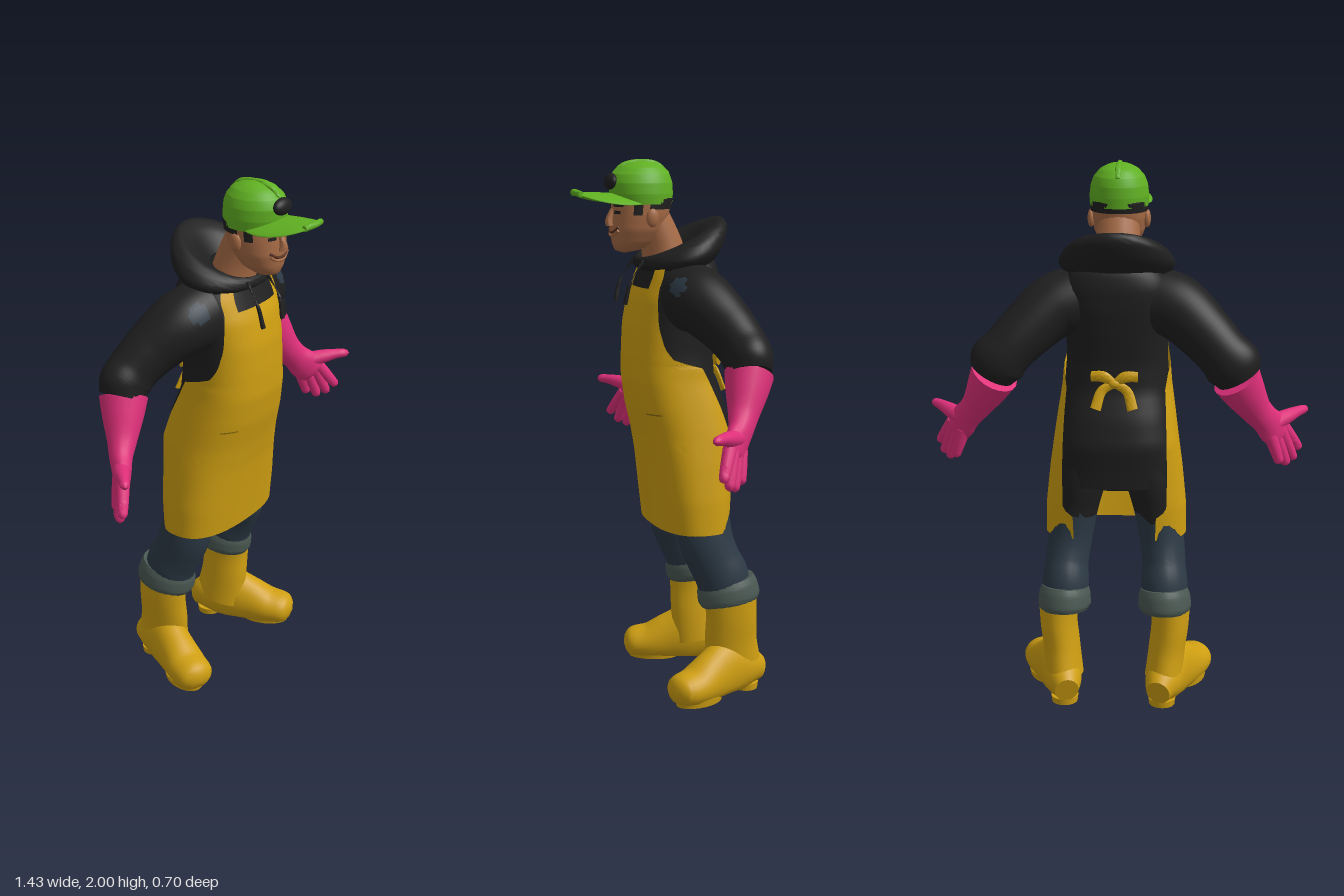
import * as THREE from 'three';
import { toCreasedNormals } from 'three/addons/utils/BufferGeometryUtils.js';

const V = (x, y, z) => new THREE.Vector3(x, y, z);
const colour = (name, hex) => {
  const m = new THREE.MeshStandardMaterial({ color: hex, side: THREE.DoubleSide });
  m.name = name;
  return m;
};

// Surface from a point function f(u, v)
function grid(nu, nv, f) {
  const pos = [], idx = [];
  for (let i = 0; i <= nu; i++) for (let j = 0; j <= nv; j++) pos.push(...f(i / nu, j / nv).toArray());
  for (let i = 0; i < nu; i++) for (let j = 0; j < nv; j++) {
    const a = i * (nv + 1) + j, b = a + nv + 1;
    idx.push(a, b, b + 1, a, b + 1, a + 1);
  }
  const g = new THREE.BufferGeometry();
  g.setAttribute('position', new THREE.Float32BufferAttribute(pos, 3));
  g.setIndex(idx);
  return toCreasedNormals(g, 0.9);
}

// Capped elliptical sweep through [x, y, z, ra, rb]; rb lies along ref
function sweep(pts, ref, { n = 20, sides = 18, round = 0, floor = -1 } = {}) {
  const path = new THREE.CatmullRomCurve3(pts.map(p => V(p[0], p[1], p[2])));
  const size = new THREE.CatmullRomCurve3(pts.map(p => V(p[3], p[4] ?? p[3], 0)));
  return grid(n + 2, sides, (u, v) => {
    const step = u * (n + 2) - 1, t = Math.min(1, Math.max(0, step / n));
    const T = path.getTangent(t), r = size.getPoint(t);
    const A = T.clone().cross(ref).normalize(), B = A.clone().cross(T);
    let k = t > 1 - round ? Math.sqrt(Math.max(0, 1 - ((t - 1 + round) / round) ** 2)) : 1;
    if (step < -0.5 || step > n + 0.5) k = 0;
    const a = v * Math.PI * 2;
    const p = path.getPoint(t).addScaledVector(A, r.x * k * Math.cos(a)).addScaledVector(B, r.y * k * Math.sin(a));
    p.y = Math.max(p.y, floor);
    return p;
  });
}

// Linear lookup in rows sorted by their first column
function lookup(rows, y) {
  let i = 0;
  while (i < rows.length - 2 && y > rows[i + 1][0]) i++;
  const k = Math.min(1, Math.max(0, (y - rows[i][0]) / (rows[i + 1][0] - rows[i][0])));
  return rows[i].map((a, j) => a + (rows[i + 1][j] - a) * k);
}

// Horizontal sections [y, half width, front z, back z]; t runs from the front
const profile = (rows, e) => (y, t, off = 0) => {
  const [, w, f, b] = lookup(rows, y), s = Math.sin(t), c = Math.cos(t);
  return V(-(w + off) * Math.sign(s) * Math.abs(s) ** e, y,
    (f + b) / 2 + ((f - b) / 2 + off) * Math.sign(c) * Math.abs(c) ** e);
};
const shell = (at, y0, y1, t0, t1, off, n = 24, m = 32) => grid(n, m, (u, v) => {
  const y = y0 + (y1 - y0) * u, a = typeof t0 === 'function' ? t0(y) : t0, b = typeof t1 === 'function' ? t1(y) : t1;
  return at(y, a + (b - a) * v, off);
});

// Assign the second material to triangles whose centre passes the test
function paint(geo, test) {
  const p = geo.attributes.position;
  for (let i = 0; i < p.count; i += 3) {
    const c = V(0, 0, 0);
    for (let k = 0; k < 3; k++) c.add(V(p.getX(i + k), p.getY(i + k), p.getZ(i + k)));
    geo.addGroup(i, 3, test(c.divideScalar(3)) ? 1 : 0);
  }
  return geo;
}

export function createModel() {
  const root = new THREE.Group();
  const black = colour('hoodie black', 0x1f1f1f), yellow = colour('rubber yellow', 0xcf9f12);
  const pink = colour('glove pink', 0xdf307a), green = colour('cap green', 0x60b022);
  const denim = colour('denim blue', 0x2c3945), cuffGrey = colour('cuff grey', 0x4a5852);
  const skin = colour('skin', 0xa56a45), lip = colour('lip brown', 0x5a3222), seam = colour('seam brown', 0x8a6a10);
  const add = (name, geo, mat) => {
    const m = new THREE.Mesh(geo, mat);
    m.name = name;
    root.add(m);
    return m;
  };
  const ball = (name, mat, p, s) => {
    const m = add(name, new THREE.SphereGeometry(1, 24, 16), mat);
    m.position.set(...p);
    m.scale.set(...s);
    return m;
  };
  const X = V(1, 0, 0), Y = V(0, 1, 0), Z = V(0, 0, 1), TAU = Math.PI * 2;

  // Torso and apron share one profile
  const body = profile([[0.635, 0.256, 0.04, -0.22], [0.75, 0.254, 0.055, -0.23], [0.9, 0.238, 0.075, -0.238],
    [1.0, 0.224, 0.095, -0.25], [1.1, 0.21, 0.12, -0.225], [1.2, 0.195, 0.135, -0.185], [1.3, 0.187, 0.135, -0.178],
    [1.4, 0.188, 0.13, -0.19], [1.5, 0.2, 0.11, -0.2], [1.58, 0.2, 0.075, -0.2], [1.64, 0.17, 0.05, -0.185],
    [1.68, 0.09, 0.02, -0.13], [1.69, 0.002, -0.05, -0.054]], 0.8);
  add('hoodieTorso', shell(body, 0.84, 1.69, 0, TAU, 0, 36, 40), black);
  ball('seat', black, [0, 0.86, -0.09], [0.2, 0.06, 0.13]);
  const edge = y => lookup([[0.635, 2.62], [0.73, 2.6], [0.75, 2.4], [1.0, 2.25], [1.2, 2.1], [1.255, 1.9], [1.275, 1.45],
    [1.33, 1.2], [1.42, 1.0], [1.54, 0.8]], y)[1];
  add('apron', shell(body, 0.635, 1.54, y => -edge(y), edge, 0.009, 50, 40), yellow);

  // Hood: rolled surface from the shoulders over the rim to the neck
  const hoodRows = [[0.185, 0.065, -0.17, 1.595, 1.62], [0.212, 0.1, -0.225, 1.615, 1.7], [0.192, 0.1, -0.243, 1.638, 1.76],
    [0.152, 0.088, -0.225, 1.648, 1.792], [0.115, 0.075, -0.17, 1.638, 1.765], [0.085, 0.06, -0.1, 1.62, 1.69]];
  const across = new THREE.CatmullRomCurve3(hoodRows.map(r => V(r[0], r[1], r[2])));
  const heights = new THREE.CatmullRomCurve3(hoodRows.map(r => V(r[3], r[4], 0)));
  add('hood', grid(24, 48, (u, v) => {
    const { x: w, y: f, z: b } = across.getPoint(u), h = heights.getPoint(u), c = Math.cos(v * TAU);
    return V(-w * Math.sin(v * TAU), h.x + (h.y - h.x) * (1 - c) / 2, (f + b) / 2 + (f - b) / 2 * c);
  }), black);

  // Neck, head and face
  add('neck', sweep([[0, 1.6, -0.02, 0.085, 0.1], [0, 1.7, 0.005, 0.075, 0.085], [0, 1.8, 0.045, 0.066, 0.076]], X), skin);
  const head = profile([[1.665, 0.003, 0.15, 0.14], [1.67, 0.038, 0.178, 0.1], [1.7, 0.072, 0.19, 0.04],
    [1.75, 0.094, 0.196, 0.0], [1.8, 0.1, 0.192, -0.02], [1.86, 0.1, 0.188, -0.028], [1.9, 0.09, 0.17, -0.02]], 0.92);
  add('head', shell(head, 1.665, 1.9, 0, TAU, 0, 24, 36), skin);
  add('hair', shell(head, 1.825, 1.865, Math.PI - 1.55, Math.PI + 1.55, 0.006), black);
  add('nose', sweep([[0, 1.825, 0.188, 0.009], [0, 1.785, 0.203, 0.014], [0, 1.765, 0.202, 0.02, 0.014]], Z), skin);
  const mouthLine = (y0, r) => sweep([-0.55, -0.28, 0, 0.28, 0.55].map(t =>
    [...head(y0 + 0.07 * t * t, t, 0.001).toArray(), r]), Y, { sides: 8 });
  add('mouth', mouthLine(1.74, 0.005), lip);
  add('lowerLip', mouthLine(1.728, 0.006), skin);

  // Cap with crown, ridge, bent brim and blank badge
  const crown = profile([[1.843, 0.107, 0.19, -0.034], [1.88, 0.11, 0.199, -0.037], [1.92, 0.105, 0.2, -0.035],
    [1.95, 0.093, 0.188, -0.025], [1.975, 0.071, 0.16, -0.002], [1.99, 0.044, 0.128, 0.03], [1.997, 0.02, 0.1, 0.06],
    [1.999, 0.001, 0.081, 0.079]], 1);
  add('capCrown', shell(crown, 1.843, 1.999, 0, TAU, 0, 40, 40), green);
  add('capRidge', sweep([[0, 1.95, -0.022, 0.008], [0, 1.982, 0.02, 0.012], [0, 1.992, 0.08, 0.012, 0.008],
    [0, 1.98, 0.148, 0.012], [0, 1.95, 0.186, 0.008]], X), green);
  const brim = new THREE.SphereGeometry(1, 36, 16).scale(0.118, 0.011, 0.16).translate(0, 1.872, 0.185);
  const bp = brim.attributes.position;
  for (let i = 0; i < bp.count; i++)
    bp.setY(i, bp.getY(i) - 1.9 * bp.getX(i) ** 2 + 0.08 * (bp.getZ(i) - 0.2));
  brim.computeVertexNormals();
  add('capBrim', brim, green);
  add('brimLip', sweep([[-0.05, 1.881, 0.322, 0.011], [0, 1.887, 0.334, 0.012], [0.05, 1.881, 0.322, 0.011]], Y), green);
  ball('capBadge', black, [0, 1.924, 0.196], [0.048, 0.03, 0.022]).rotation.x = -0.2;

  // Back bow knot
  ball('bowKnot', yellow, [0, 1.235, -0.196], [0.024, 0.018, 0.016]);

  for (const s of [-1, 1]) {
    const side = rows => rows.map(([x, ...r]) => [s * x, ...r]);

    // Ears, eyes, brows and sideburns
    ball('ear', skin, [s * 0.103, 1.795, 0.07], [0.014, 0.034, 0.023]);
    add('eye', shell(head, 1.808, 1.82, s * 0.24, s * 0.58, 0.003, 2, 8), black);
    add('eyebrow', shell(head, 1.834, 1.843, s * 0.18, s * 0.7, 0.004, 2, 8), black);
    add('sideburn', shell(head, 1.805, 1.85, s * 1.1, s * 1.4, 0.004, 4, 6), black);

    // Bow loops and tails
    add('bowLoop', sweep(side([[0, 1.235, -0.196, 0.014, 0.008], [0.04, 1.262, -0.2, 0.021, 0.01],
      [0.085, 1.262, -0.196, 0.019, 0.008]]), Z), yellow);
    add('bowTail', sweep(side([[0, 1.235, -0.196, 0.014, 0.008], [0.045, 1.21, -0.203, 0.018, 0.008],
      [0.068, 1.145, -0.222, 0.02, 0.008]]), Z), yellow);

    // Straps, pocket slits and drawstrings
    add('apronStrap', shell(body, 1.53, 1.645, s * 0.47, s * 0.8, 0.01, 8, 8), yellow);
    add('pocketSlit', shell(body, 1.079, 1.084, s * 0.55, s * 0.95, 0.011, 2, 10), seam);
    add('drawstring', sweep(side([[0.06, 1.64, 0.09, 0.007], [0.066, 1.56, 0.142, 0.007], [0.06, 1.48, 0.162, 0.009]]), Z, { sides: 8 }), black);

    // Sleeve with a denim patch on the shoulder
    const patch = V(s * 0.245, 1.56, 0.02);
    add('sleeve', paint(sweep(side([[0.13, 1.51, -0.055, 0.135, 0.12], [0.22, 1.495, -0.08, 0.12, 0.12], [0.325, 1.415, -0.14, 0.104, 0.1],
      [0.39, 1.35, -0.172, 0.098, 0.09], [0.425, 1.31, -0.18, 0.105, 0.088], [0.45, 1.265, -0.175, 0.085, 0.08]]), Z, { n: 44, sides: 40 }),
      c => c.distanceTo(patch) < 0.038), [black, denim]);

    // Glove: gauntlet, palm, fingers and thumb
    const flat = V(s * -0.74, 0, 0.68);
    add('glove', sweep(side([[0.44, 1.26, -0.178, 0.092, 0.088], [0.47, 1.205, -0.158, 0.08, 0.076], [0.515, 1.13, -0.128, 0.06, 0.054],
      [0.55, 1.085, -0.105, 0.056, 0.042], [0.58, 1.045, -0.078, 0.065, 0.034], [0.612, 1.0, -0.052, 0.055, 0.026]]), flat, { n: 28, round: 0.06 }), pink);
    const fingers = [[[0.572, 1.02, -0.098], [0.612, 0.905, -0.085]], [[0.59, 1.02, -0.075], [0.64, 0.888, -0.05]],
      [[0.61, 1.03, -0.055], [0.668, 0.9, -0.02]], [[0.62, 1.04, -0.04], [0.688, 0.935, 0.01]]];
    for (const [a, b] of fingers)
      add('finger', sweep(side([[...a, 0.025], [...a.map((k, i) => (k + b[i]) / 2), 0.022], [...b, 0.017]]), flat, { n: 16, sides: 12, round: 0.15 }), pink);
    add('thumb', sweep(side([[0.57, 1.06, -0.09, 0.034], [0.635, 1.075, -0.03, 0.028], [0.675, 1.083, 0.01, 0.02],
      [0.714, 1.085, 0.05, 0.015]]), flat, { n: 16, sides: 12, round: 0.15 }), pink);

    // Trouser leg, black at the top, with a rolled cuff
    add('trouserLeg', paint(sweep(side([[0.19, 0.38, -0.185, 0.082, 0.095], [0.187, 0.45, -0.178, 0.088, 0.102], [0.184, 0.52, -0.145, 0.082, 0.1],
      [0.175, 0.6, -0.115, 0.084, 0.104], [0.155, 0.72, -0.107, 0.085, 0.103], [0.13, 0.85, -0.11, 0.094, 0.113], [0.11, 0.97, -0.11, 0.1, 0.11]]),
      Z, { n: 36, sides: 24 }), c => c.y > 0.715 + 0.015 * Math.sin(c.x * 60)), [denim, black]);
    add('trouserCuff', sweep(side([[0.19, 0.355, -0.207, 0.09, 0.112], [0.19, 0.375, -0.204, 0.1, 0.12], [0.188, 0.415, -0.197, 0.097, 0.117],
      [0.187, 0.44, -0.192, 0.088, 0.108]]), Z, { sides: 24 }), cuffGrey);

    // Boot: shaft, turned-out foot, heel and sole
    add('bootShaft', sweep(side([[0.19, 0.09, -0.225, 0.072, 0.11], [0.2, 0.2, -0.21, 0.069, 0.102], [0.211, 0.3, -0.207, 0.07, 0.099],
      [0.213, 0.385, -0.203, 0.073, 0.1]]), Z, { sides: 24 }), yellow);
    add('bootFoot', sweep(side([[0.172, 0.07, -0.335, 0.045, 0.05], [0.186, 0.085, -0.28, 0.066, 0.08], [0.213, 0.095, -0.19, 0.074, 0.12],
      [0.245, 0.08, -0.115, 0.076, 0.102], [0.28, 0.062, -0.035, 0.08, 0.072], [0.298, 0.058, 0.012, 0.076, 0.064],
      [0.316, 0.052, 0.06, 0.058, 0.05]]), Y, { n: 40, sides: 28, round: 0.12, floor: 0.014 }), yellow);
    const pad = (name, x, z, w, d) => {
      const m = add(name, new THREE.CylinderGeometry(1, 0.94, 0.025, 28), yellow);
      m.scale.set(w, 1, d);
      m.position.set(s * x, 0.0125, z);
      m.rotation.y = s * 0.38;
    };
    pad('bootHeel', 0.185, -0.275, 0.052, 0.05);
    pad('bootSole', 0.277, -0.055, 0.066, 0.105);
  }
  return root;
}
